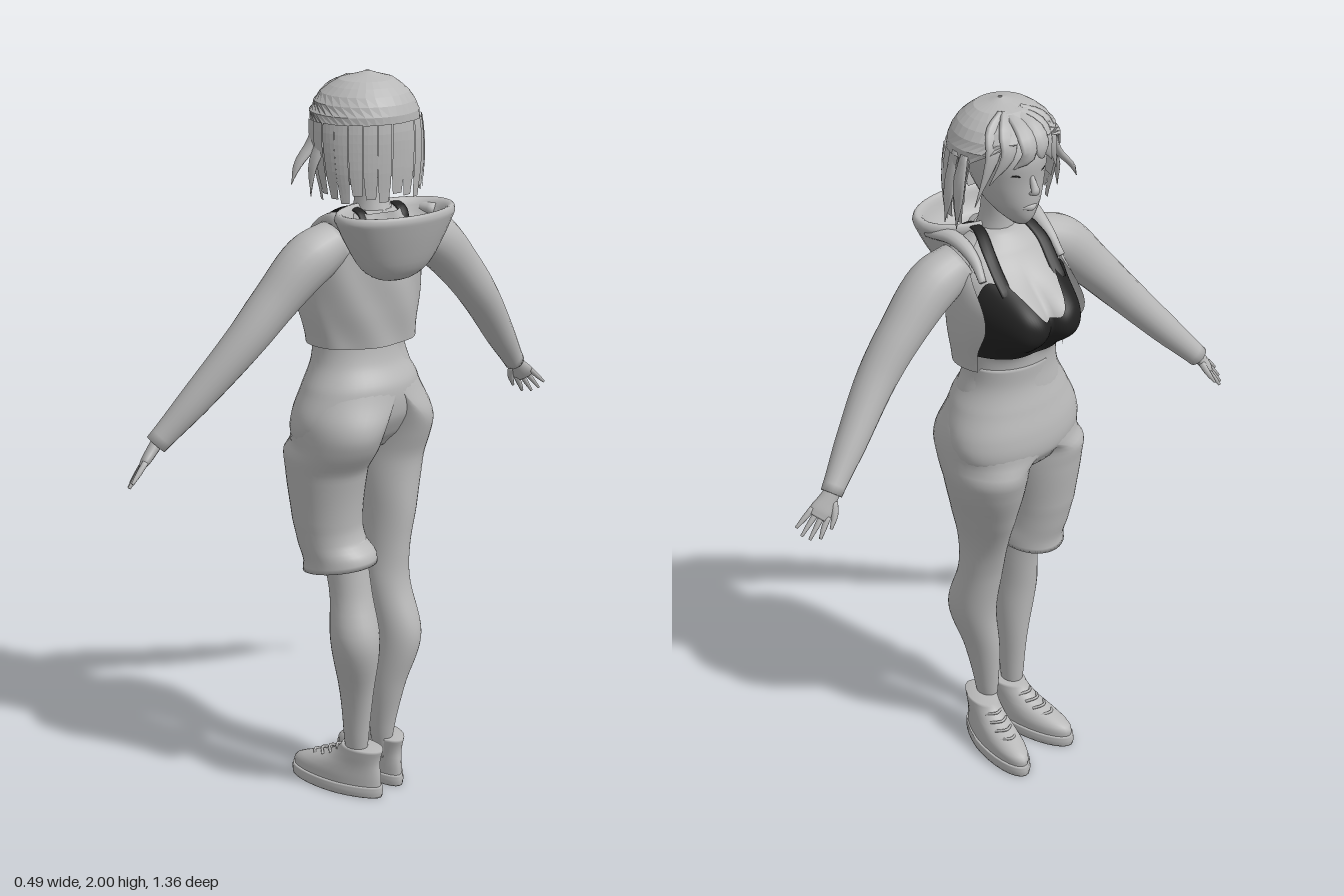
import * as THREE from 'three';
import { mergeVertices } from 'three/addons/utils/BufferGeometryUtils.js';

const V = (p) => new THREE.Vector3(...p);
const TAU = Math.PI * 2;
const { clamp, lerp, smoothstep } = THREE.MathUtils;

// smooth lookup in a table whose rows start with an ascending key
function at(rows, key) {
  let i = rows.findIndex((r) => r[0] >= key);
  if (i < 0) i = rows.length - 1;
  i = Math.max(i, 1);
  const a = rows[i - 1], b = rows[i];
  const p = rows[Math.max(i - 2, 0)], n = rows[Math.min(i + 1, rows.length - 1)];
  const k = clamp((key - a[0]) / (b[0] - a[0]), 0, 1);
  return a.map((_, c) => {
    const m0 = (b[c] - p[c]) / 2, m1 = (n[c] - a[c]) / 2;
    const d = b[c] - a[c];
    return a[c] + m0 * k + (3 * d - 2 * m0 - m1) * k * k + (m0 + m1 - 2 * d) * k * k * k;
  });
}

// surface from a rule fn(u, v) -> [x, y, z]
function surface(fn, nu, nv, flat = false) {
  const g = new THREE.PlaneGeometry(1, 1, nu, nv), pos = g.attributes.position;
  for (let i = 0; i < pos.count; i++) {
    pos.setXYZ(i, ...fn((i % (nu + 1)) / nu, Math.floor(i / (nu + 1)) / nv));
  }
  g.deleteAttribute('uv');
  g.deleteAttribute('normal');
  const out = flat ? g.toNonIndexed() : mergeVertices(g, 1e-5);
  out.computeVertexNormals();
  return out;
}

// point on a ring [y, xFront, xBack, z0, z1]; angle 0 is the front (-x)
function ringPoint(rows, y, a, off = 0) {
  const [, xf, xb, z0, z1] = at(rows, y);
  return [(xf + xb) / 2 - Math.cos(a) * ((xb - xf) / 2 + off), y,
    (z0 + z1) / 2 + Math.sin(a) * (Math.abs(z1 - z0) / 2 + off)];
}

// closed stack of rings
function loft(rows, nu = 28, nv = 26, shape) {
  const y0 = rows[0][0], y1 = rows[rows.length - 1][0];
  return surface((u, v) => {
    const t = clamp((v * nv - 1) / (nv - 2), 0, 1), y = y0 + (y1 - y0) * t;
    if (v > 0 && v < 1) return shape ? shape(y, u * TAU) : ringPoint(rows, y, u * TAU);
    const q = ringPoint(rows, y, 0), r = ringPoint(rows, y, Math.PI);
    return [(q[0] + r[0]) / 2, y, (q[2] + r[2]) / 2];
  }, nu, nv);
}

// tube along points with [width, thickness] at each point
function sweep(points, radii, up = [0, 1, 0], nu = 12, nv = 16) {
  const curve = new THREE.CatmullRomCurve3(points.map(V));
  const rows = radii.map((r, i) => [i / (radii.length - 1), ...r]);
  return surface((u, v) => {
    const t = clamp((v * nv - 1) / (nv - 2), 0, 1);
    const p = curve.getPoint(t), d = curve.getTangent(t);
    if (v === 0 || v === 1) return p.toArray();
    const side = d.clone().cross(V(up)).normalize(), n = side.clone().cross(d);
    const [, w, h] = at(rows, t);
    return p.addScaledVector(side, w * Math.cos(u * TAU)).addScaledVector(n, h * Math.sin(u * TAU)).toArray();
  }, nu, nv);
}

export function createModel() {
  const model = new THREE.Group();
  const grey = new THREE.MeshStandardMaterial({ color: 0xb8b8b8, side: THREE.DoubleSide });
  grey.name = 'grey';
  const black = new THREE.MeshStandardMaterial({ color: 0x222222, side: THREE.DoubleSide });
  black.name = 'black';
  const add = (parent, name, geometry, material = grey) => {
    const m = new THREE.Mesh(geometry, material);
    m.name = name;
    parent.add(m);
  };

  // hips, and legs whose tops merge into them
  const hips = [[1.0, -0.13, 0.06, -0.15, 0.16], [1.04, -0.154, 0.095, -0.195, 0.208], [1.1, -0.154, 0.125, -0.2, 0.215],
    [1.18, -0.135, 0.127, -0.168, 0.182], [1.24, -0.12, 0.097, -0.138, 0.148], [1.3, -0.12, 0.085, -0.13, 0.135]];
  add(model, 'hips', loft(hips, 40, 36, (y, a) => ringPoint(hips, y, a, 0.002)));
  const legPoint = (rows, s) => (y, a) => {
    const p = ringPoint(rows, y, a), h = ringPoint(hips, y, a);
    h[2] = s * Math.max(h[2] * s, 0);
    const k = lerp(smoothstep(y, 1.04, 1.2), smoothstep(y, 0.99, 1.07), smoothstep(Math.cos(a), -0.3, 0.5));
    const q = p.map((c, i) => lerp(c, h[i], k));
    if (s > 0) q[1] += 0.18 * q[0] * clamp((0.8 - y) / 0.1, 0, 1);
    return q;
  };
  const shorts = [[0.67, -0.105, 0.105, 0, 0.19], [0.7, -0.104, 0.1, 0, 0.188], [0.74, -0.115, 0.07, 0.008, 0.192],
    [0.8, -0.13, 0.06, 0.01, 0.2], [0.95, -0.15, 0.08, 0, 0.215], [1.02, -0.157, 0.125, 0, 0.22],
    [1.1, -0.14, 0.15, 0.002, 0.213], [1.18, -0.11, 0.13, 0.01, 0.175], [1.22, -0.1, 0.1, 0.02, 0.15]];
  add(model, 'leftShortsLeg', loft(shorts, 40, 44, legPoint(shorts, 1)));
  add(model, 'leftLowerLeg', loft([[0.08, 0.02, 0.07, 0.055, 0.1], [0.15, 0.01, 0.08, 0.05, 0.11], [0.3, 0, 0.1, 0.045, 0.125],
    [0.47, -0.01, 0.13, 0.037, 0.167], [0.6, -0.025, 0.09, 0.03, 0.147], [0.75, -0.06, 0.07, 0.03, 0.15]]));
  const rightLeg = [[0.08, 0.03, 0.08, -0.035, 0], [0.15, 0.02, 0.09, -0.045, 0.012], [0.3, 0.01, 0.12, -0.07, 0.02],
    [0.45, 0.005, 0.153, -0.11, 0.012], [0.6, -0.02, 0.11, -0.11, 0.01], [0.7, -0.05, 0.105, -0.116, -0.003],
    [0.8, -0.09, 0.11, -0.145, -0.008], [0.95, -0.14, 0.108, -0.197, 0], [1.02, -0.152, 0.13, -0.205, 0],
    [1.1, -0.14, 0.15, -0.198, 0.002], [1.18, -0.11, 0.13, -0.162, -0.008], [1.22, -0.1, 0.1, -0.14, -0.02]];
  add(model, 'rightLeg', loft(rightLeg, 40, 60, legPoint(rightLeg, -1)));

  // shoes: sole, upper and laces
  for (const [side, z, yaw] of [['left', 0.074, 0.08], ['right', -0.055, -0.28]]) {
    const shoe = new THREE.Group();
    shoe.name = side + 'Shoe';
    shoe.position.z = z;
    shoe.rotation.y = yaw;
    model.add(shoe);
    const taper = (rows) => (y, a) => {
      const p = ringPoint(rows, y, a);
      p[2] *= 1.05 - 1.2 * Math.max(0, p[0]);
      return p;
    };
    const sole = [[0, -0.18, 0.122, -0.052, 0.052], [0.015, -0.182, 0.124, -0.054, 0.054], [0.032, -0.18, 0.123, -0.052, 0.052]];
    const upper = [[0.025, -0.174, 0.118, -0.048, 0.048], [0.055, -0.17, 0.118, -0.048, 0.048], [0.075, -0.125, 0.116, -0.045, 0.045],
      [0.095, -0.065, 0.114, -0.042, 0.042], [0.118, -0.025, 0.117, -0.041, 0.041], [0.142, -0.005, 0.124, -0.04, 0.04]];
    add(shoe, 'sole', loft(sole, 28, 8, taper(sole)));
    add(shoe, 'upper', loft(upper, 28, 16, taper(upper)));
    for (let i = 0; i < 4; i++) {
      const x = -0.105 + i * 0.026, y = 0.083 + i * 0.013;
      add(shoe, 'lace', sweep([[x + 0.02, y - 0.006, -0.026], [x, y + 0.002, 0], [x + 0.02, y - 0.006, 0.026]],
        [[0.004, 0.004], [0.004, 0.004]], [0, 1, 0], 6, 8));
    }
  }

  // upper body, turned slightly to its right
  const upperBody = new THREE.Group();
  upperBody.name = 'upperBody';
  upperBody.rotation.y = -0.2;
  model.add(upperBody);
  const torsoRows = [[1.2, -0.125, 0.1, -0.15, 0.15], [1.27, -0.12, 0.085, -0.132, 0.132], [1.35, -0.122, 0.09, -0.138, 0.138],
    [1.45, -0.13, 0.1, -0.148, 0.148], [1.55, -0.1, 0.11, -0.155, 0.155], [1.61, -0.055, 0.1, -0.125, 0.125], [1.65, -0.02, 0.09, -0.06, 0.06]];
  const bust = (y, z, a) => {
    const dz = Math.abs(z) - 0.068, dy = (y - 1.45) / 0.085;
    return 0.09 * Math.exp(-(Math.hypot(dz / (dz < 0 ? 0.09 : 0.07), dy) ** 3)) * clamp(Math.cos(a) * 2, 0, 1);
  };
  const torso = (y, a, off = 0) => {
    const p = ringPoint(torsoRows, y, a, off);
    p[0] -= bust(y, p[2], a);
    return p;
  };
  add(upperBody, 'torso', loft(torsoRows, 72, 48, torso));

  // cropped top with a deep round neckline, and straps over the shoulders
  add(upperBody, 'croppedTop', surface((u, v) => {
    const a = (u - 0.5) * 2.7, s = Math.abs(a);
    const top = 1.47 + 0.085 * smoothstep(s, 0.12, 0.55) - 0.07 * smoothstep(s, 0.75, 1.3);
    return torso(1.342 + (top - 1.342) * v, a, 0.007);
  }, 60, 24), black);
  for (const s of [-1, 1]) {
    add(upperBody, 'strap', sweep([[-0.125, 1.53, s * 0.083], [-0.086, 1.57, s * 0.085], [-0.042, 1.618, s * 0.083],
      [0.02, 1.653, s * 0.068], [0.08, 1.645, s * 0.064], [0.105, 1.6, s * 0.064]],
    [[0.018, 0.004], [0.017, 0.004], [0.015, 0.004]], [-0.3, 1, 0], 8, 24), black);
  }

  // open cropped jacket and hanging hood
  const jacketRows = [[1.295, -0.125, 0.122, -0.152, 0.165], [1.4, -0.142, 0.13, -0.165, 0.178], [1.5, -0.137, 0.13, -0.165, 0.175],
    [1.6, -0.07, 0.115, -0.145, 0.15], [1.65, -0.03, 0.105, -0.08, 0.08]];
  add(upperBody, 'jacket', surface((u, v) => {
    const y = 1.295 + v * 0.352;
    const a = lerp(0.86, TAU - 1.08, u);
    const p = ringPoint(jacketRows, y, a);
    p[0] += 0.003 * Math.sin(a * 7 + v * 9) - bust(y, p[2] * 0.87, a);
    return p;
  }, 60, 24));
  const hoodProfile = [[0.02, 1.475], [0.3, 1.483], [0.58, 1.515], [0.8, 1.575], [0.96, 1.63], [1, 1.65], [0.95, 1.664],
    [0.84, 1.655], [0.72, 1.62], [0.5, 1.59], [0.02, 1.58]].map((p) => new THREE.Vector2(...p));
  const hood = new THREE.LatheGeometry(new THREE.SplineCurve(hoodProfile).getPoints(30), 32);
  hood.scale(0.108, 1, 0.178);
  hood.translate(0.135, 0, 0);
  add(upperBody, 'hood', hood);
  for (const s of [-1, 1]) {
    add(upperBody, 'hoodCollar', sweep([[-0.075, 1.56, s * 0.125], [-0.03, 1.605, s * 0.12], [0.04, 1.635, s * 0.125], [0.12, 1.635, s * 0.15]],
      [[0.01, 0.008], [0.015, 0.014], [0.022, 0.018], [0.022, 0.018]]));
  }

  // neck, head and face
  add(upperBody, 'neck', sweep([[0.045, 1.6, 0], [0.035, 1.68, 0], [0.02, 1.78, 0]], [[0.06, 0.06], [0.045, 0.045], [0.045, 0.045]], [1, 0, 0]));
  add(upperBody, 'head', loft([[1.693, -0.088, -0.03, -0.02, 0.02], [1.71, -0.102, 0.01, -0.04, 0.04], [1.75, -0.11, 0.06, -0.068, 0.068],
    [1.81, -0.112, 0.1, -0.09, 0.09], [1.88, -0.115, 0.125, -0.1, 0.1], [1.94, -0.085, 0.115, -0.085, 0.085], [1.98, -0.02, 0.06, -0.03, 0.03]]));
  add(upperBody, 'nose', sweep([[-0.108, 1.835, 0], [-0.122, 1.808, 0], [-0.127, 1.795, 0], [-0.105, 1.785, 0]],
    [[0.006, 0.006], [0.01, 0.009], [0.012, 0.008], [0.008, 0.004]], [1, 0, 0]));
  add(upperBody, 'lips', sweep([[-0.102, 1.748, -0.024], [-0.112, 1.748, 0], [-0.102, 1.748, 0.024]], [[0.002, 0.003], [0.005, 0.008], [0.002, 0.003]]));
  for (const s of [-1, 1]) {
    add(upperBody, 'eyelash', sweep([[-0.107, 1.832, s * 0.022], [-0.102, 1.842, s * 0.042], [-0.083, 1.834, s * 0.063]],
      [[0.002, 0.002], [0.003, 0.003], [0.001, 0.001]], [0, 1, 0], 6, 8), black);
  }

  // bobbed hair: faceted cap, open over the face, with hanging strands below
  const hairRows = [[1.68, -0.06, 0.148, -0.135, 0.15], [1.78, -0.09, 0.155, -0.148, 0.162], [1.88, -0.125, 0.155, -0.145, 0.158],
    [1.94, -0.105, 0.135, -0.118, 0.13], [1.98, -0.05, 0.09, -0.07, 0.08], [2.0, 0.015, 0.025, -0.005, 0.005]];
  add(upperBody, 'hair', surface((u, v) => {
    const y = 1.75 + 0.25 * Math.sin(v * Math.PI / 2);
    const open = 1.2 * clamp((1.945 - y) / 0.06, 0, 1);
    return ringPoint(hairRows, y, open + u * (TAU - 2 * open), -0.006 * clamp((1.9 - y) / 0.03, 0, 1));
  }, 30, 12, true));
  const strands = 15, arc = (TAU - 2.4) / strands;
  for (let i = 0; i < strands; i++) {
    const hem = 1.685 + 0.01 * ((i * 5) % 3);
    add(upperBody, 'hairStrand', surface((u, v) => {
      const width = 0.72 + 0.24 * Math.min(1, v * 4);
      const a = 1.2 + (i + 0.5 + (u - 0.5) * width) * arc;
      return ringPoint(hairRows, hem + (1.885 - hem) * v, a, 0.002 * (i % 2));
    }, 3, 8, true));
  }
  const lock = (points, w, up) => add(upperBody, 'hairLock',
    sweep(points, [[w * 0.6, 0.007], [w, 0.009], [w * 0.8, 0.007], [0.001, 0.001]], up, 8, 12));
  for (const [z0, z1, z2, y2] of [[0, 0.025, 0.05, 1.865], [0.01, 0.055, 0.09, 1.84], [0.02, 0.085, 0.122, 1.8],
    [-0.01, -0.02, -0.05, 1.86], [-0.02, -0.06, -0.1, 1.82], [-0.03, -0.09, -0.128, 1.76]]) {
    const x = -0.14 + Math.abs(z1) * 0.75;
    lock([[-0.03, 1.978, z0], [x + 0.02, 1.945, z1 * 0.8], [x, 1.9, z1], [x + 0.025, y2, z2]], 0.026, [-1, 0.4, 0]);
  }
  for (const [s, x, out, y] of [[1, -0.015, 0.225, 1.73], [1, 0.02, 0.19, 1.7], [-1, -0.015, 0.155, 1.69], [-1, 0.02, 0.165, 1.7]]) {
    lock([[x, 1.89, s * 0.135], [x, 1.83, s * 0.15], [x, 1.775, s * (out * 0.6 + 0.062)], [x + 0.01, y, s * out]], 0.022, [0, 0, 1]);
  }

  // sleeved arms and hands
  const arms = {
    left: [[0.01, 1.575, 0.12], [-0.01, 1.535, 0.2], [-0.045, 1.44, 0.29], [-0.08, 1.34, 0.375], [-0.145, 1.2, 0.49], [-0.198, 1.095, 0.578]],
    right: [[0.05, 1.575, -0.12], [0.068, 1.535, -0.2], [0.08, 1.44, -0.3], [0.088, 1.34, -0.385], [0.075, 1.2, -0.5], [0.06, 1.1, -0.588]],
  };
  for (const [side, path] of Object.entries(arms)) {
    const s = side === 'left' ? 1 : -1;
    add(model, side + 'Sleeve', sweep(path, [[0.06, 0.06], [0.068, 0.07], [0.06, 0.06], [0.053, 0.052], [0.041, 0.041], [0.028, 0.03]], [0, 1, 0], 20, 32));
    const hand = new THREE.Group();
    hand.name = side + 'Hand';
    model.add(hand);
    // d runs down the hand, w points across it to the thumb
    const wrist = V(path[5]), d = V([s > 0 ? -0.13 : 0.1, -0.75, s * 0.62]).normalize();
    const w = V([-0.7, -0.3, s * -0.55]);
    w.addScaledVector(d, -w.dot(d)).normalize();
    const up = d.clone().cross(w).toArray();
    const p = (along, across) => wrist.clone().addScaledVector(d, along).addScaledVector(w, across).toArray();
    add(hand, 'palm', sweep([p(-0.02, 0), p(0.02, 0), p(0.05, 0), p(0.07, 0)], [[0.02, 0.017], [0.024, 0.015], [0.03, 0.013], [0.027, 0.009]], up));
    [0.115, 0.13, 0.132, 0.12].forEach((len, i) => {
      const k = (1.5 - i) * 0.015;
      add(hand, 'finger', sweep([p(0.055, k), p(0.09, k * 1.25), p(len, k * 1.5)], [[0.008, 0.008], [0.007, 0.007], [0.004, 0.004]], up, 8, 8));
    });
    add(hand, 'thumb', sweep([p(0.015, 0.015), p(0.045, 0.035), p(0.08, 0.045)], [[0.011, 0.01], [0.009, 0.008], [0.004, 0.004]], up, 8, 8));
  }
  return model;
}
